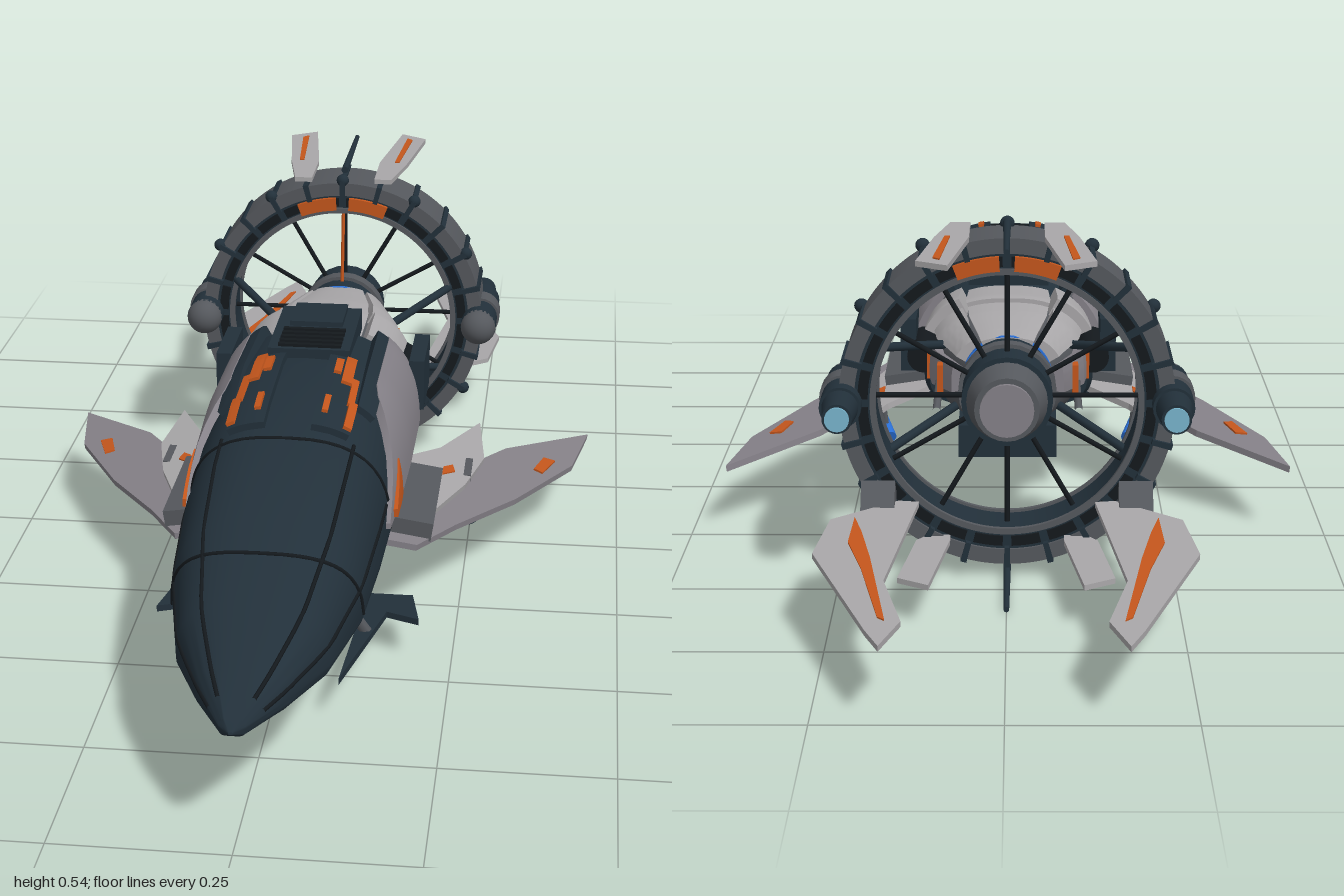
import * as THREE from 'three';
import { mergeVertices, toCreasedNormals } from 'three/addons/utils/BufferGeometryUtils.js';

const mat = (name, color, side = THREE.FrontSide) => Object.assign(new THREE.MeshStandardMaterial({ color, side }), { name });
const D = THREE.DoubleSide;
const M = {
  hull: mat('hull slate', 0x22303a, D), black: mat('seam black', 0x14191d), steel: mat('ring steel', 0x55585d),
  light: mat('light grey', 0xa9a7a9, D), mid: mat('mid grey', 0x858188, D), orange: mat('orange', 0xc4561c, D),
  blue: mat('blue', 0x2a6fd6), glow: mat('pale blue', 0x78b4cc),
};
const rad = THREE.MathUtils.degToRad;

function add(parent, name, geo, material, pos = [0, 0, 0], rot = [0, 0, 0]) {
  const m = new THREE.Mesh(geo, material);
  m.name = name; m.position.set(...pos); m.rotation.set(...rot);
  parent.add(m);
  return m;
}
const box = (p, n, m, size, pos, rot) => add(p, n, new THREE.BoxGeometry(...size), m, pos, rot);
const sub = (p, name) => { const g = new THREE.Group(); g.name = name; p.add(g); return g; };
// Cylinder whose axis runs along z
const cylZ = (p, n, m, r0, r1, len, pos) => add(p, n, new THREE.CylinderGeometry(r0, r1, len, 24).rotateX(Math.PI / 2), m, pos);
// Round bar between two points
const bar = (p, n, m, r, a, b) => {
  const curve = new THREE.LineCurve3(new THREE.Vector3(...a), new THREE.Vector3(...b));
  return add(p, n, new THREE.TubeGeometry(curve, 1, r, 8), m);
};
// Flat plate from an outline in x, z
function plate(p, n, m, pts, y, t) {
  const s = new THREE.Shape(pts.map(([x, z]) => new THREE.Vector2(x, -z)));
  return add(p, n, new THREE.ExtrudeGeometry(s, { depth: t, bevelEnabled: false }).rotateX(-Math.PI / 2), m, [0, y, 0]);
}
// Arc-shaped block around the ring axis, centred on z = 0
function arcBlock(p, n, m, r0, r1, a0, a1, depth, z = 0) {
  const s = new THREE.Shape();
  s.absarc(0, 0, r1, a0, a1, false);
  s.absarc(0, 0, r0, a1, a0, true);
  return add(p, n, new THREE.ExtrudeGeometry(s, { depth, bevelEnabled: false, curveSegments: 5 }), m, [0, 0, z - depth / 2]);
}
function hoop(p, n, m, r0, r1, depth, z = 0) {
  const s = new THREE.Shape().absarc(0, 0, r1, 0, Math.PI * 2, false);
  s.holes.push(new THREE.Path().absarc(0, 0, r0, 0, Math.PI * 2, true));
  const g = new THREE.ExtrudeGeometry(s, { depth, bevelEnabled: false, curveSegments: 64 });
  return add(p, n, toCreasedNormals(g, 0.5), m, [0, 0, z - depth / 2]);
}

// Stations: z, half width, bottom, widest height, top
const HULL = [
  [1, .003, .186, .188, .19], [.985, .018, .176, .188, .202], [.9, .062, .164, .186, .235], [.8, .105, .157, .186, .273],
  [.65, .136, .154, .19, .326], [.5, .147, .152, .2, .362], [.35, .152, .148, .205, .38], [.2, .15, .145, .21, .388],
  [0, .14, .15, .21, .37], [-.04, .13, .16, .21, .352], [-.041, .002, .25, .252, .254],
];
const CORE = [
  [-.03, .11, .2, .25, .34], [-.12, .115, .195, .25, .345], [-.2, .105, .195, .25, .34],
  [-.28, .075, .2, .26, .33], [-.34, .055, .215, .27, .32],
];
function station(S, z) {
  let i = 0;
  while (i < S.length - 2 && z < S[i + 1][0]) i++;
  const k = (z - S[i][0]) / (S[i + 1][0] - S[i][0]);
  return S[i].map((v, j) => v + (S[i + 1][j] - v) * k);
}
// Point on a section: rounded above, nearly flat below
function point([z, w, yb, ym, yt], t, off = 0) {
  const c = Math.cos(t), s = Math.sin(t);
  const x = w * Math.sign(c) * Math.abs(c) ** (s >= 0 ? .75 : .45);
  const y = s >= 0 ? (yt - ym) * s ** .75 : -(ym - yb) * (-s) ** .8;
  return [x + off * c, ym + y + off * s, z];
}
function grid(rows) {
  const n = rows[0].length, idx = [];
  for (let i = 0; i < rows.length - 1; i++) for (let j = 0; j < n - 1; j++) {
    const a = i * n + j, b = a + n;
    idx.push(a, b, a + 1, b, b + 1, a + 1);
  }
  const g = new THREE.BufferGeometry();
  g.setAttribute('position', new THREE.Float32BufferAttribute(rows.flat(2), 3));
  g.setIndex(idx);
  return toCreasedNormals(mergeVertices(g, 1e-5), .7);
}
const loft = (S) => grid(S.map((s) => Array.from({ length: 41 }, (_, j) => point(s, (j / 40) * Math.PI * 2))));
// Raised skin panel on a lofted body; angles and offset may vary with k = 0..1, edges are turned inward
function panel(S, z0, z1, t0, t1, off) {
  const f = (v, k) => (typeof v === 'function' ? v(k) : v), rows = [];
  for (let i = -1; i <= 17; i++) {
    const k = Math.min(Math.max(i / 16, 0), 1), st = station(S, z0 + (z1 - z0) * k), row = [];
    for (let j = -1; j <= 9; j++) {
      const edge = i < 0 || i > 16 || j < 0 || j > 8, u = Math.min(Math.max(j / 8, 0), 1);
      row.push(point(st, rad(f(t0, k) + (f(t1, k) - f(t0, k)) * u), edge ? -.004 : f(off, k)));
    }
    rows.push(row);
  }
  return grid(rows);
}

function buildSide(root, side) {
  const g = sub(root, side > 0 ? 'leftSide' : 'rightSide');
  g.scale.x = side;

  // Flank armour, shoulder rail and canopy panels
  add(g, 'flankPanel', panel(HULL, .43, -.04, 3, (k) => 5 + 47 * Math.min(1, k * 2.5), (k) => .006 + .024 * k), M.mid);
  add(g, 'flankMark', panel(HULL, .4, .32, 4, (k) => 7 + 13 * k, (k) => .014), M.orange);
  add(g, 'shoulderRail', panel(HULL, .32, -.03, 47, 60, (k) => .01 + .018 * k), M.hull);
  add(g, 'canopyPanel', panel(HULL, .42, .02, 61, 82, .01), M.hull);
  for (const [a, b, t, w] of [[.41, .33, 61, 5], [.34, .25, 63, 4], [.27, .17, 67, 6], [.38, .33, 76, 3], [.24, .19, 74, 4]])
    add(g, 'canopyStripe', panel(HULL, a, b, t, t + w, .015), M.orange);
  // Nose seams
  for (const [t, z0, z1] of [[55, .95, .42], [12, .95, .42]]) {
    const pts = Array.from({ length: 14 }, (_, i) => new THREE.Vector3(...point(station(HULL, z0 + (z1 - z0) * i / 13), rad(t))));
    add(g, 'noseSeam', new THREE.TubeGeometry(new THREE.CatmullRomCurve3(pts), 26, .003, 6), M.black);
  }
  box(g, 'chinLamp', M.blue, [.012, .008, .012], [.058, .163, .83]);

  // Landing skid
  plate(g, 'skid', M.hull, [[.1, .64], [.115, .36], [.185, .36], [.2, .44], [.15, .42]], .068, .01);
  bar(g, 'skidLeg', M.steel, .009, [.08, .15, .5], [.125, .074, .48]);

  // Drooping wing with feather, tip marks and engine pod
  const wing = sub(g, 'wing');
  wing.position.y = .178; wing.rotation.z = -.153;
  plate(wing, 'wingBlade', M.mid, [[.13, .34], [.19, .34], [.245, .24], [.335, .1], [.425, -.08], [.45, -.23], [.31, -.1], [.25, 0], [.14, .1]], -.005, .01);
  plate(wing, 'wingFeather', M.light, [[.13, .3], [.18, .3], [.25, .1], [.275, -.02], [.26, -.17], [.2, -.03], [.13, .05]], .004, .01);
  plate(wing, 'wingTipMark', M.orange, [[.36, -.03], [.375, -.02], [.395, -.08], [.375, -.085]], .005, .003);
  plate(wing, 'wingMark', M.orange, [[.21, .08], [.23, .06], [.225, .035], [.21, .05]], .013, .003);
  box(g, 'wingRoot', M.steel, [.09, .03, .22], [.165, .168, .2], [0, 0, -.15]);
  cylZ(g, 'wingPod', M.hull, .026, .022, .13, [.25, .107, .035]);
  box(g, 'podStrut', M.steel, [.012, .04, .07], [.25, .135, .03]);
  add(g, 'wingThruster', new THREE.CylinderGeometry(.011, .011, .05, 16), M.blue, [.208, .092, .06], [1.2, 0, -.3]);
  bar(g, 'thrusterStrut', M.steel, .005, [.208, .095, .06], [.215, .15, .06]);

  // Neck machinery
  add(g, 'neckPanel', panel(CORE, -.03, -.13, 25, 62, .03), M.light);
  add(g, 'neckPanel', panel(CORE, -.15, -.3, 30, 62, .02), M.light);
  add(g, 'neckLowerPanel', panel(CORE, -.16, -.29, -5, 20, .015), M.mid);
  for (const z of [-.14, -.25]) box(g, 'neckMark', M.orange, [.009, .05, .025], [z < -.2 ? .105 : .125, .262, z]);
  box(g, 'sideIntake', M.hull, [.025, .085, .13], [.16, .285, -.06]);
  cylZ(g, 'sideTank', M.black, .026, .026, .1, [.135, .272, -.1]);
  bar(g, 'ringBrace', M.hull, .007, [.1, .31, -.22], [.2, .34, -.36]);
  bar(g, 'ringBrace', M.hull, .007, [.08, .22, -.25], [.18, .18, -.36]);
  bar(g, 'neckPipe', M.steel, .006, [.1, .35, -.02], [.11, .22, -.28]);

  // Ring side engine
  const pod = sub(g, 'ringPod');
  pod.position.set(.245, .275, 0);
  cylZ(pod, 'podBody', M.hull, .031, .031, .15, [0, 0, -.39]);
  cylZ(pod, 'podCollar', M.steel, .035, .035, .04, [0, 0, -.39]);
  add(pod, 'podNose', new THREE.SphereGeometry(.031, 24, 16), M.steel, [0, 0, -.318]);
  cylZ(pod, 'podNozzle', M.hull, .027, .022, .06, [0, 0, -.495]);
  cylZ(pod, 'podGlow', M.glow, .018, .018, .008, [0, 0, -.526]);

  // Great tail fin with its bracket
  const fin = sub(g, 'tailFin');
  fin.position.y = .146; fin.rotation.x = -.036;
  plate(fin, 'finBlade', M.light, [[.16, -1], [.18, -.95], [.27, -.68], [.255, -.545], [.16, -.465], [.13, -.47], [.165, -.78], [.135, -.92]], -.004, .008);
  for (const [y, t] of [[.003, .003], [-.006, .003]])
    plate(fin, 'finStripe', M.orange, [[.158, -.92], [.168, -.91], [.2, -.74], [.225, -.64], [.222, -.54], [.208, -.6], [.19, -.7]].map(([x, z]) => [x - .002, z]), y, t);
  box(g, 'finBracket', M.steel, [.05, .05, .05], [.19, .13, -.465], [.7, 0, 0]);

  // Small fins above and below the ring
  const outline = [[.08, -.655], [.125, -.625], [.105, -.46], [.085, -.35], [.055, -.35], [.055, -.46]];
  plate(g, 'upperFin', M.light, outline, .522, .008);
  plate(g, 'upperFinStripe', M.orange, [[.092, -.62], [.102, -.61], [.09, -.46], [.082, -.46]], .529, .003);
  plate(g, 'lowerFin', M.light, outline.map(([x, z]) => [x + .03, Math.min(z, -.43)]), .062, .008);
}

export function createModel() {
  const root = new THREE.Group();
  root.name = 'ringDriveShip';

  // Main hull, neck and belly
  add(root, 'hull', loft(HULL), M.hull);
  add(root, 'neckCore', loft(CORE), M.steel);
  add(root, 'spinePanel', panel(CORE, -.03, -.14, 66, 114, .022), M.light);
  add(root, 'spinePanel', panel(CORE, -.15, -.31, 66, 114, .018), M.light);
  box(root, 'belly', M.hull, [.15, .05, .5], [0, .185, -.08]);
  for (let i = 0; i < 6; i++) box(root, 'bellyRib', M.black, [.1, .02, .01], [0, .155, -.13 - i * .025]);
  for (const z of [.68, .42]) {
    const pts = Array.from({ length: 25 }, (_, j) => new THREE.Vector3(...point(station(HULL, z + .06 * Math.sin(j / 24 * Math.PI) - .03), j / 24 * Math.PI)));
    add(root, 'hullSeam', new THREE.TubeGeometry(new THREE.CatmullRomCurve3(pts), 48, .003, 6), M.black);
  }
  // Dorsal block with cooling slats
  box(root, 'dorsalBase', M.hull, [.13, .035, .2], [0, .382, .06]);
  box(root, 'dorsalTop', M.hull, [.085, .03, .09], [0, .393, .01]);
  for (let i = 0; i < 5; i++) box(root, 'dorsalSlat', M.black, [.1, .006, .009], [0, .401, .075 + i * .018]);

  for (const s of [1, -1]) buildSide(root, s);

  // Drive ring
  const ring = sub(root, 'driveRing');
  ring.position.set(0, .275, -.39);
  hoop(ring, 'ringCore', M.hull, .198, .238, .09);
  for (const z of [-.045, .045]) hoop(ring, 'ringTrim', M.steel, .194, .203, .008, z);
  const N = 24, step = Math.PI * 2 / N;
  for (let i = 0; i < N; i++) {
    const a = i * step;
    arcBlock(ring, 'ringTile', M.steel, .226, .249, a + .012, a + step - .012, .1);
    arcBlock(ring, 'ringRib', M.hull, .222, .253, a - .018, a + .018, .112);
    arcBlock(ring, 'ringFacePlate', M.black, .206, .221, a + .03, a + step - .03, .098);
  }
  for (const a of [78, 102]) arcBlock(ring, 'ringLamp', M.orange, .2, .222, rad(a - 9), rad(a + 9), .106);
  // Beads and spokes
  for (let i = 0; i < 12; i++) {
    const a = i * Math.PI / 6, c = Math.cos(a), s = Math.sin(a);
    if (Math.abs(s) > .1) add(ring, 'ringBead', new THREE.SphereGeometry(.011, 12, 8), M.hull, [.253 * c, .253 * s, .045]);
    bar(ring, 'spoke', M.black, .004, [.05 * c, .05 * s, 0], [.2 * c, .2 * s, 0]);
  }
  for (const s of [1, -1]) {
    cylZ(ring, 'antenna', M.hull, .006, .004, .22, [0, .262 * s, -.1]);
    bar(ring, 'orangeStay', M.orange, .003, [0, .06 * s, .05], [0, .2 * s, .03]);
  }
  // Hub
  cylZ(ring, 'hubBody', M.hull, .068, .068, .12, [0, 0, .02]);
  cylZ(ring, 'hubCollar', M.steel, .074, .074, .025, [0, 0, .03]);
  cylZ(ring, 'hubTail', M.steel, .062, .048, .05, [0, 0, -.06]);
  cylZ(ring, 'hubCap', M.mid, .04, .04, .01, [0, 0, -.087]);
  hoop(ring, 'hubBand', M.blue, .06, .07, .008, .085);
  return root;
}
